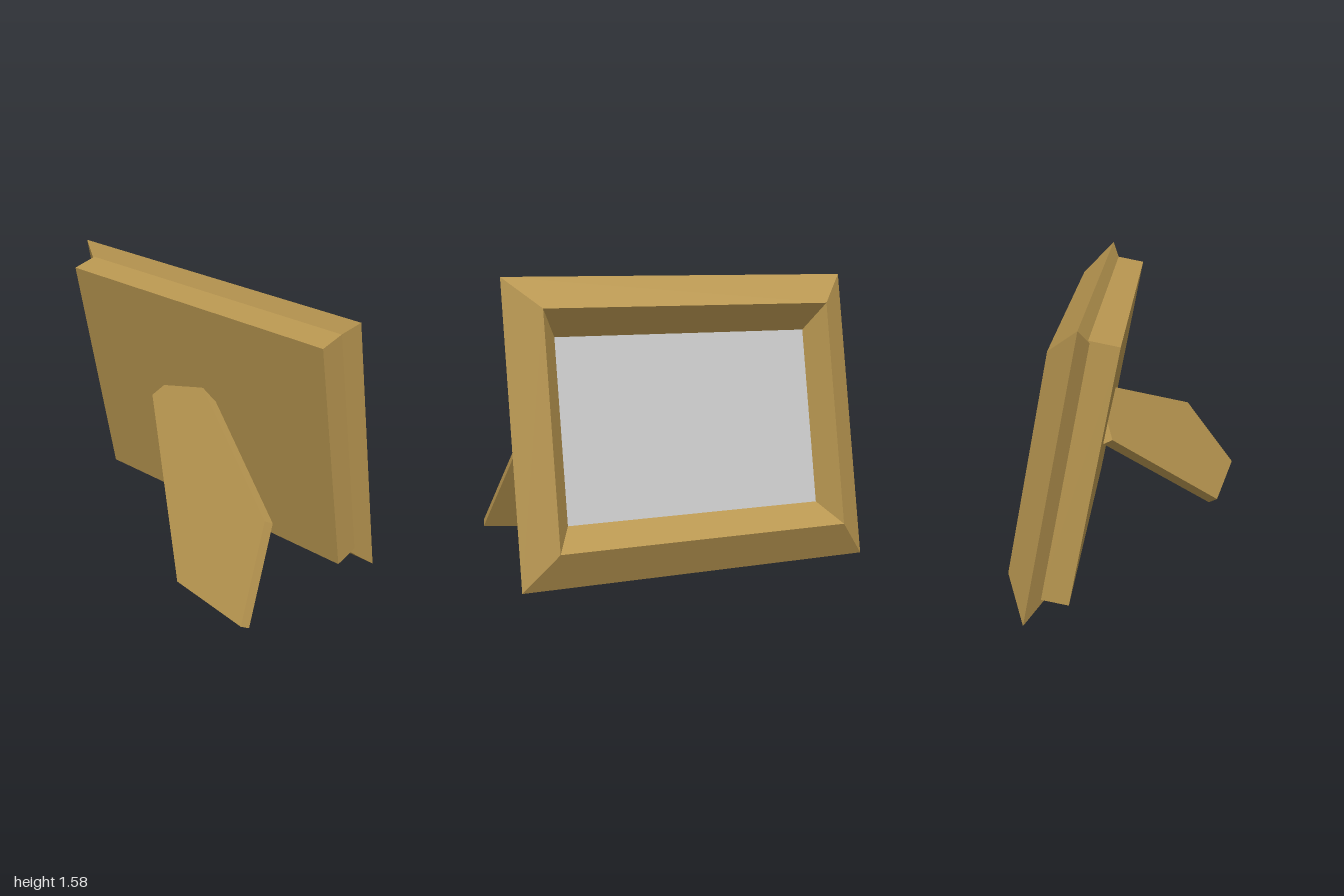
import * as THREE from 'three';

const wood = new THREE.MeshStandardMaterial({ color: 0xb89650, flatShading: true });
const grey = new THREE.MeshStandardMaterial({ color: 0xcccccc, flatShading: true });

// Flat-sided geometry from faces given as counter-clockwise corner lists
function fromFaces(faces) {
  const pos = [];
  for (const f of faces)
    for (let i = 1; i < f.length - 1; i++) pos.push(...f[0], ...f[i], ...f[i + 1]);
  const g = new THREE.BufferGeometry();
  g.setAttribute('position', new THREE.Float32BufferAttribute(pos, 3));
  g.computeVertexNormals();
  return g;
}

function addMesh(parent, name, geometry, material) {
  const mesh = new THREE.Mesh(geometry, material);
  mesh.name = name;
  parent.add(mesh);
  return mesh;
}

// Mitred moulding: rectangular loops joined into a closed diamond section
function mouldingGeometry() {
  const midY = 0.711;
  // depth, half height, half width: outer edge, front ridge, inner edge, back
  const section = [
    [0.491, 0.807, 1.0],
    [0.628, 0.621, 0.825],
    [0.491, 0.49, 0.735],
    [0.37, 0.652, 0.8],
  ];
  const corners = [[1, 1], [1, -1], [-1, -1], [-1, 1]];
  const point = (s, c) => {
    const [d, h, w] = section[s % 4], [sy, sz] = corners[c % 4];
    return [d, midY + sy * h, sz * w];
  };
  const faces = [];
  for (let s = 0; s < 4; s++)
    for (let c = 0; c < 4; c++)
      faces.push([point(s, c), point(s + 1, c), point(s + 1, c + 1), point(s, c + 1)]);
  return fromFaces(faces);
}

// Slanted support slab: one face outline pushed through by its thickness
function legGeometry() {
  const top = [
    [-0.5, 0.1, 0.39], [-0.6, 0.13, 0.93], [-0.3, 0.58, 0.825],
    [0.151, 0.998, -0.069], [0.137, 0.906, -0.253], [0.087, 0.786, -0.362],
  ];
  const thickness = [0.05, -0.03, 0.014];
  const bottom = top.map(p => p.map((v, i) => v + thickness[i]));
  const faces = [top, [...bottom].reverse()];
  top.forEach((p, i) => {
    const j = (i + 1) % top.length;
    faces.push([bottom[i], bottom[j], top[j], p]);
  });
  return fromFaces(faces);
}

export function createModel() {
  const model = new THREE.Group();
  model.name = 'pictureFrame';

  // Everything but the leg leans back together
  const body = new THREE.Group();
  body.name = 'leaningFrame';
  body.rotation.z = 0.1937;
  model.add(body);

  addMesh(body, 'moulding', mouldingGeometry(), wood);

  const back = addMesh(body, 'backBox', new THREE.BoxGeometry(0.16, 1.435, 1.815), wood);
  back.position.set(0.362, 0.734, 0.008);

  const panel = addMesh(body, 'picturePanel', new THREE.BoxGeometry(0.04, 0.98, 1.47), grey);
  panel.position.set(0.471, 0.711, 0);

  addMesh(model, 'supportLeg', legGeometry(), wood);
  return model;
}
